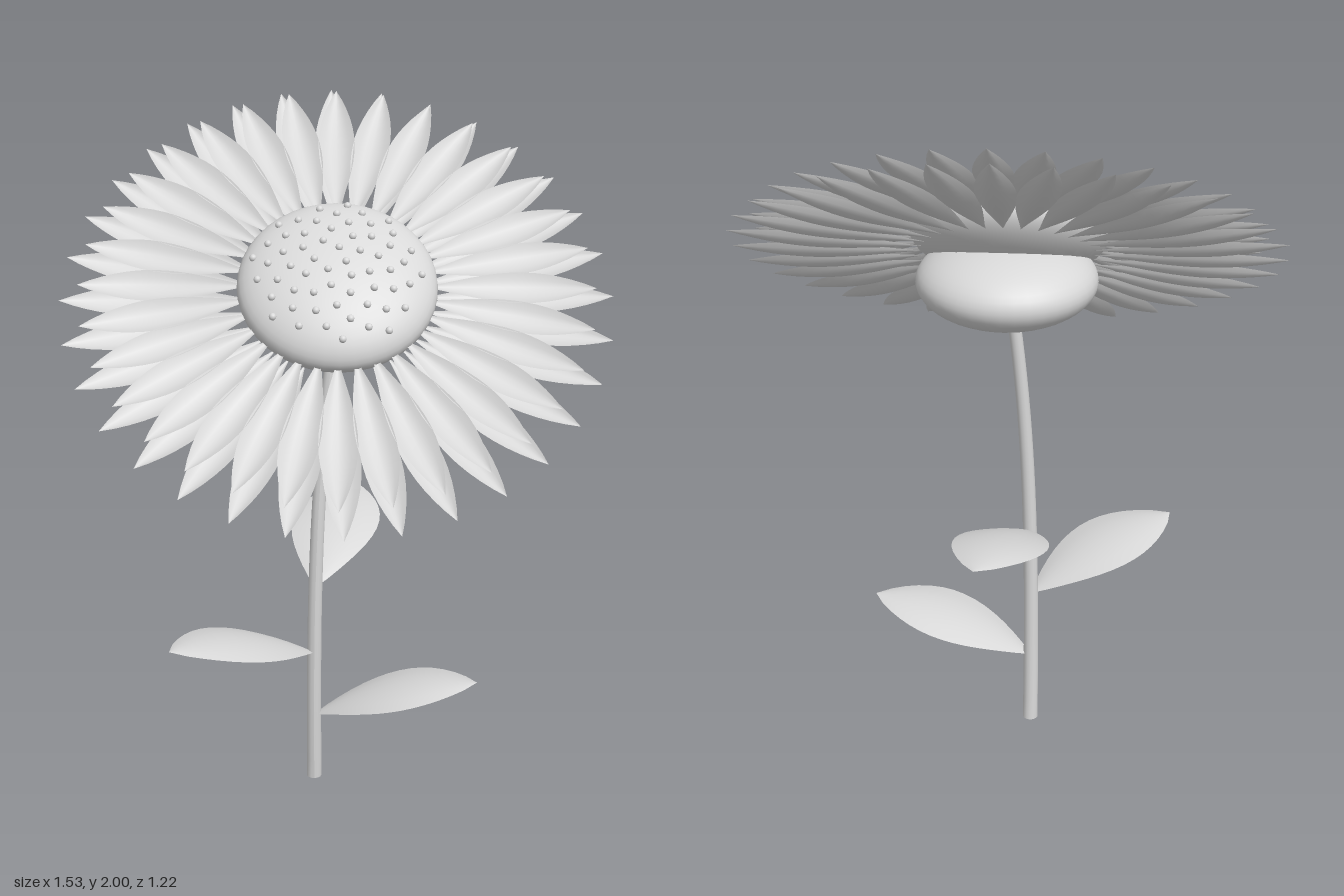
import * as THREE from 'three';

const paleGrey = new THREE.MeshStandardMaterial({ color: 0xd8d8d8, side: THREE.DoubleSide });
paleGrey.name = 'paleGrey';

const HEAD_TILT = 0.65;
const STEM_HEIGHT = 1.46;
const GOLDEN_ANGLE = Math.PI * (3 - Math.sqrt(5));

function addMesh(parent, name, geometry, x = 0, y = 0, z = 0) {
  const mesh = new THREE.Mesh(geometry, paleGrey);
  mesh.name = name;
  mesh.position.set(x, y, z);
  parent.add(mesh);
  return mesh;
}

// Pointed blade running along -z with its top facing +y; a positive cup lowers the
// midrib below the edges, a negative one lowers the edges
function bladeGeometry({ start, length, width, widest, fullness, cup, rise }) {
  const geometry = new THREE.PlaneGeometry(1, 1, 6, 14);
  const p = geometry.attributes.position;
  const power = Math.log(0.5) / Math.log(widest);
  for (let i = 0; i < p.count; i++) {
    const u = p.getX(i) * 2;
    const t = THREE.MathUtils.clamp(p.getY(i) + 0.5, 0, 1);
    const s = Math.max(0, Math.sin(Math.PI * Math.pow(t, power)));
    const w = Math.max(Math.pow(s, fullness), 0.002);
    const sag = cup > 0 ? u * u - 1 : u * u;
    p.setXYZ(i, u * w * width / 2, rise(t) + cup * w * sag, -start - length * t);
  }
  geometry.computeVertexNormals();
  return geometry;
}

// Centre line of the gently curved stem
function stemPoint(y) {
  const t = y / STEM_HEIGHT;
  return new THREE.Vector3(-0.07 + 0.07 * t ** 3, y, -0.02 + 0.1 * t * (1 - t));
}

function buildStem(parent) {
  const geometry = new THREE.CylinderGeometry(0.018, 0.023, STEM_HEIGHT, 14, 24);
  geometry.translate(0, STEM_HEIGHT / 2, 0);
  const p = geometry.attributes.position;
  for (let i = 0; i < p.count; i++) {
    const c = stemPoint(p.getY(i));
    p.setXYZ(i, p.getX(i) + c.x, p.getY(i), p.getZ(i) + c.z);
  }
  geometry.computeVertexNormals();
  addMesh(parent, 'stem', geometry);
}

function buildLeaves(parent) {
  const geometry = bladeGeometry({
    start: 0, length: 0.49, width: 0.265, widest: 0.54, fullness: 0.8, cup: -0.022,
    rise: t => 0.145 * (2.3 * t - 1.3 * t * t),
  });
  // Leaves climb the stem in a spiral
  [0.22, 0.435, 0.65].forEach((y, i) => {
    const a = 0.17 + i * GOLDEN_ANGLE;
    const base = stemPoint(y);
    const leaf = addMesh(parent, 'leaf' + (i + 1), geometry, base.x, base.y, base.z);
    leaf.rotation.y = Math.atan2(-Math.cos(a), -Math.sin(a));
  });
}

function buildPetalRing(head, name, radius, height, turn) {
  const count = 32, start = 0.235;
  const geometry = bladeGeometry({
    start, length: radius - start, width: 0.104, widest: 0.57, fullness: 0.9, cup: 0.024,
    rise: () => 0,
  });
  const ring = new THREE.Group();
  ring.name = name;
  ring.position.y = height;
  for (let i = 0; i < count; i++) {
    addMesh(ring, 'petal', geometry).rotation.y = turn + i * Math.PI * 2 / count;
  }
  head.add(ring);
}

function buildHead(parent) {
  const head = new THREE.Group();
  head.name = 'flowerHead';
  head.position.y = 1.53;
  head.rotation.x = HEAD_TILT;
  parent.add(head);

  buildPetalRing(head, 'backPetals', 0.765, 0, 0);
  buildPetalRing(head, 'frontPetals', 0.71, 0.055, -0.018);

  // Domed centre
  const radius = 0.275, depth = 0.11, lift = 0.057;
  const dome = new THREE.SphereGeometry(1, 40, 24);
  dome.scale(radius, depth, radius);
  addMesh(head, 'disc', dome, 0, lift, 0);

  // Seeds spiralling over the dome
  const seedGeometry = new THREE.SphereGeometry(0.0105, 10, 8);
  const seeds = new THREE.Group();
  seeds.name = 'seeds';
  const count = 60;
  for (let i = 0; i < count; i++) {
    const r = 0.236 * Math.sqrt((i + 0.5) / count);
    const a = i * GOLDEN_ANGLE;
    const y = lift + depth * Math.sqrt(1 - (r / radius) ** 2);
    addMesh(seeds, 'seed', seedGeometry, r * Math.cos(a), y + 0.002, r * Math.sin(a));
  }
  head.add(seeds);
}

export function createModel() {
  const model = new THREE.Group();
  model.name = 'flower';
  buildStem(model);
  buildLeaves(model);
  buildHead(model);

  // Level cushion joining stem and head, set back behind the dome
  const cushion = new THREE.SphereGeometry(1, 40, 24);
  cushion.scale(0.25, 0.115, 0.25);
  addMesh(model, 'receptacle', cushion, 0, 1.473, -0.048);
  return model;
}
